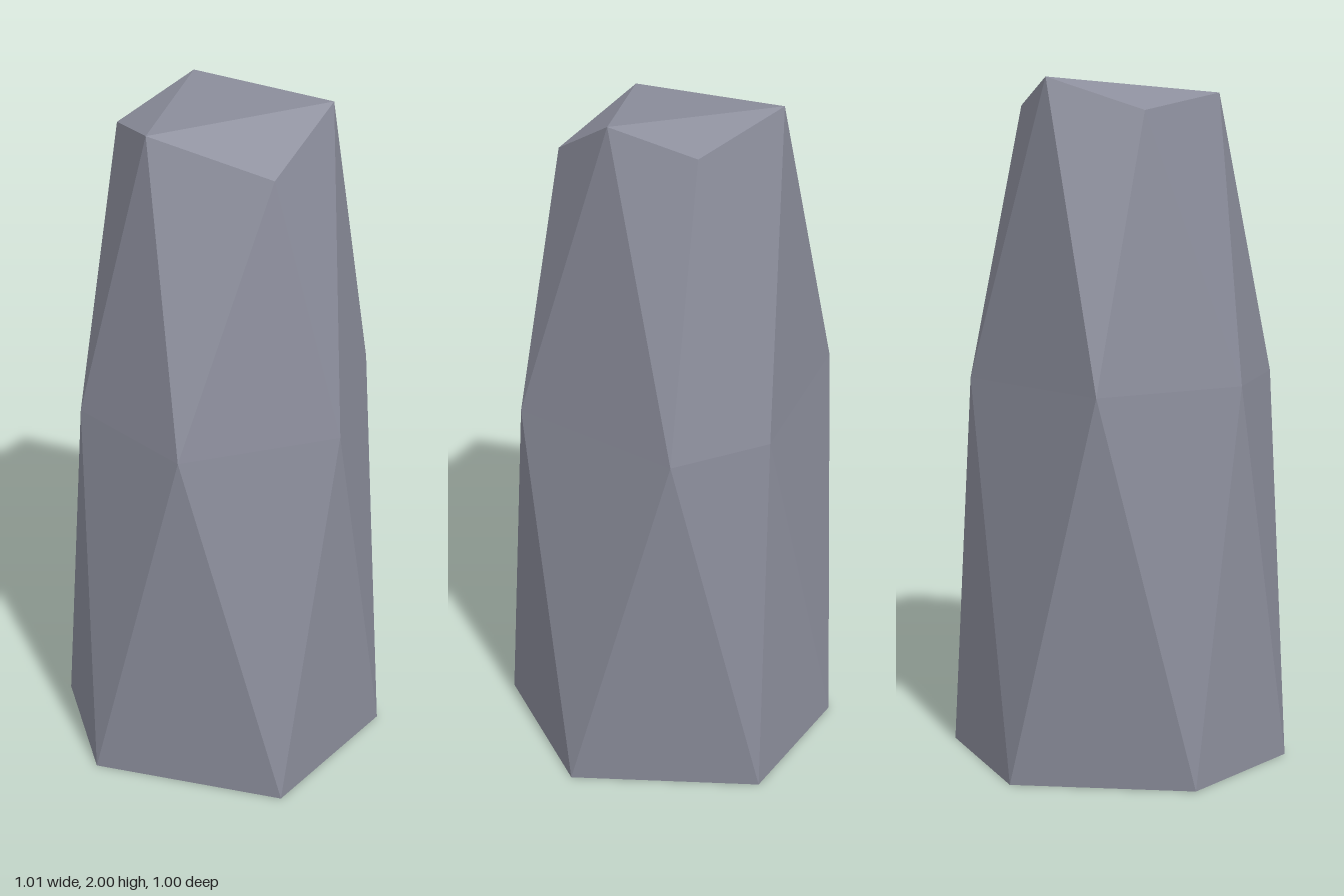
import * as THREE from 'three';

const stone = new THREE.MeshStandardMaterial({ color: 0x8b8d9b });
stone.name = 'stone';

// Cross-sections as [x, y, z], each turned half a step from the one below
const base = [
  [-0.51, 0, -0.02], [-0.24, 0, 0.495], [0.27, 0, 0.46],
  [0.505, 0, -0.06], [0.24, 0, -0.42], [-0.29, 0, -0.375],
];
const waist = [
  [-0.425, 1.13, 0.26], [-0.01, 1.13, 0.485], [0.46, 1.13, 0.205],
  [0.43, 1.13, -0.1], [-0.03, 1.13, -0.5], [-0.385, 1.13, -0.165],
];
const crown = [
  [-0.11, 1.86, 0.315], [0.18, 2, 0.27], [0.31, 1.93, 0.07],
  [0.165, 1.995, -0.235], [-0.12, 1.9, -0.26], [-0.29, 1.96, 0.025],
];

// Unshared corners keep every facet flat
function facetMesh(name, triangles) {
  const geometry = new THREE.BufferGeometry();
  geometry.setAttribute('position', new THREE.Float32BufferAttribute(triangles.flat(2), 3));
  geometry.computeVertexNormals();
  const mesh = new THREE.Mesh(geometry, stone);
  mesh.name = name;
  return mesh;
}

// Zigzag band of triangles joining two staggered rings
function band(lower, upper) {
  return lower.flatMap((corner, i) => {
    const j = (i + 1) % lower.length;
    return [[corner, lower[j], upper[i]], [upper[i], lower[j], upper[j]]];
  });
}

export function createModel() {
  const group = new THREE.Group();
  group.name = 'rockPillar';

  // Tapering sides
  group.add(facetMesh('lowerSides', band(base, waist)));
  group.add(facetMesh('upperSides', band(waist, crown)));

  // Chipped top: a central facet with three sloping ones around it
  const cap = [[1, 3, 5], [5, 0, 1], [1, 2, 3], [3, 4, 5]];
  group.add(facetMesh('top', cap.map((face) => face.map((i) => crown[i]))));

  // Flat underside
  group.add(facetMesh('underside', [1, 2, 3, 4].map((i) => [base[0], base[i + 1], base[i]])));

  return group;
}
